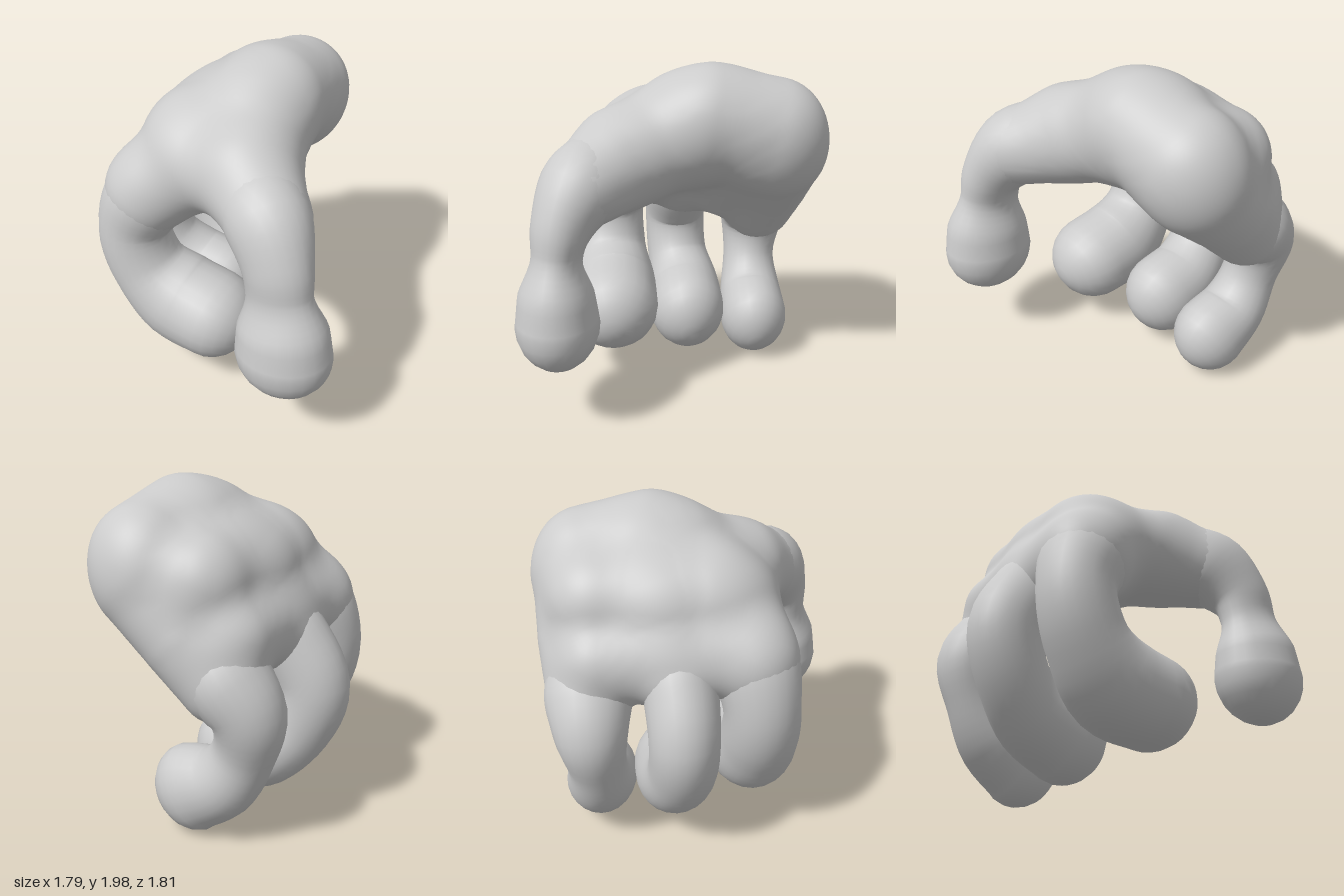
import * as THREE from 'three';
import { mergeVertices } from 'three/addons/utils/BufferGeometryUtils.js';

const SIDES = 24;

// Rounded limb swept through stations [x, y, z, half width along z, half thickness],
// closed by a dome of the given length at each end.
function limb(name, stations, startCap, endCap, material) {
  const path = new THREE.CatmullRomCurve3(stations.map(s => new THREE.Vector3(s[0], s[1], s[2])));
  const size = new THREE.CatmullRomCurve3(stations.map(s => new THREE.Vector3(s[3], s[4], 0)));
  const rings = [];
  const capSteps = 6, steps = (stations.length - 1) * 5;
  const addRing = (t, push, scale) => {
    const tangent = path.getTangent(t);
    const centre = path.getPoint(t).addScaledVector(tangent, push);
    const r = size.getPoint(t);
    const u = new THREE.Vector3(0, 0, 1).addScaledVector(tangent, -tangent.z).normalize();
    const v = new THREE.Vector3().crossVectors(tangent, u);
    rings.push({ centre, u, v, a: r.x * scale, b: r.y * scale });
  };
  for (let i = capSteps; i > 0; i--) {
    const q = (i / capSteps) * Math.PI / 2;
    addRing(0, -startCap * Math.sin(q), Math.cos(q));
  }
  for (let i = 0; i <= steps; i++) addRing(i / steps, 0, 1);
  for (let i = 1; i <= capSteps; i++) {
    const q = (i / capSteps) * Math.PI / 2;
    addRing(1, endCap * Math.sin(q), Math.cos(q));
  }

  const positions = [], indices = [];
  rings.forEach(({ centre, u, v, a, b }, i) => {
    for (let j = 0; j < SIDES; j++) {
      const q = (j / SIDES) * Math.PI * 2;
      const p = centre.clone().addScaledVector(u, a * Math.cos(q)).addScaledVector(v, b * Math.sin(q));
      positions.push(p.x, p.y, p.z);
      if (i === rings.length - 1) continue;
      const k = (j + 1) % SIDES, n = i * SIDES;
      indices.push(n + j, n + k, n + SIDES + k, n + j, n + SIDES + k, n + SIDES + j);
    }
  });
  let geometry = new THREE.BufferGeometry();
  geometry.setAttribute('position', new THREE.Float32BufferAttribute(positions, 3));
  geometry.setIndex(indices);
  geometry = mergeVertices(geometry, 1e-4);
  geometry.computeVertexNormals();
  const mesh = new THREE.Mesh(geometry, material);
  mesh.name = name;
  return mesh;
}

// Ridges of flesh in the palm: chains of balls [x, y, z, radius]
const RIDGES = [
  [[0.08, 1.59, -0.57, 0.31], [0.10, 1.68, -0.20, 0.30]], // heel
  [[0.04, 1.46, -0.60, 0.29], [-0.20, 1.22, -0.60, 0.26], [-0.41, 0.99, -0.57, 0.24]], // little finger edge
  [[0.04, 1.54, -0.42, 0.29], [-0.34, 1.15, -0.34, 0.22]], // hollow of the palm
  [[0.00, 1.62, -0.25, 0.32], [-0.26, 1.44, -0.15, 0.30], [-0.47, 1.13, -0.08, 0.22]], // middle
  [[0.00, 1.58, -0.05, 0.32], [-0.20, 1.42, 0.20, 0.30], [-0.43, 1.18, 0.35, 0.25]], // index edge
  [[0.08, 1.59, -0.05, 0.31], [0.20, 1.47, 0.30, 0.28], [0.43, 1.38, 0.51, 0.235]], // thumb mound
  [[-0.20, 1.42, 0.20, 0.28], [0.20, 1.47, 0.30, 0.27]], // web beside the thumb
  [[-0.22, 1.49, -0.50, 0.29], [-0.23, 1.49, 0.10, 0.30]], // back of the hand
  [[-0.42, 1.22, -0.50, 0.23], [-0.43, 1.26, 0.33, 0.23]], // knuckle row
];

// Distance from a point to the smoothly blended ridges (negative inside)
function palmDistance(p) {
  const blend = 0.1;
  let total = 10;
  for (const chain of RIDGES) {
    let nearest = 10;
    for (let i = 0; i < chain.length - 1; i++) {
      const [ax, ay, az, ar] = chain[i], [bx, by, bz, br] = chain[i + 1];
      const dx = bx - ax, dy = by - ay, dz = bz - az;
      const along = ((p.x - ax) * dx + (p.y - ay) * dy + (p.z - az) * dz) / (dx * dx + dy * dy + dz * dz);
      const h = THREE.MathUtils.clamp(along, 0, 1);
      const gap = Math.hypot(p.x - ax - dx * h, p.y - ay - dy * h, p.z - az - dz * h);
      nearest = Math.min(nearest, gap - ar - (br - ar) * h);
    }
    const mix = Math.max(blend - Math.abs(total - nearest), 0) / blend;
    total = Math.min(total, nearest) - mix * mix * blend / 4;
  }
  return total;
}

// Palm: a ball whose vertices are pushed out to the blended ridges
function palm(material) {
  let geometry = new THREE.IcosahedronGeometry(1, 24);
  geometry.deleteAttribute('normal');
  geometry.deleteAttribute('uv');
  geometry = mergeVertices(geometry);
  const centre = new THREE.Vector3(-0.09, 1.42, -0.18);
  const position = geometry.attributes.position;
  const direction = new THREE.Vector3(), p = new THREE.Vector3();
  for (let i = 0; i < position.count; i++) {
    direction.fromBufferAttribute(position, i).normalize();
    p.copy(centre);
    for (let d = palmDistance(p); d < 0; d = palmDistance(p)) {
      p.addScaledVector(direction, 0.001 - d * 0.8);
    }
    position.setXYZ(i, p.x, p.y, p.z);
  }
  geometry.computeVertexNormals();
  const mesh = new THREE.Mesh(geometry, material);
  mesh.name = 'palm';
  return mesh;
}

export function createModel() {
  const hand = new THREE.Group();
  hand.name = 'hand';
  const skin = new THREE.MeshStandardMaterial({ color: 0xcccccc });

  hand.add(palm(skin));

  // Thumb, with a narrow neck and a bulbous tip
  hand.add(limb('thumb', [
    [0.28, 1.45, 0.40, 0.22, 0.22],
    [0.43, 1.38, 0.52, 0.23, 0.24],
    [0.55, 1.19, 0.63, 0.17, 0.20],
    [0.58, 1.03, 0.66, 0.14, 0.19],
    [0.61, 0.83, 0.67, 0.21, 0.26],
    [0.62, 0.66, 0.67, 0.235, 0.28],
  ], 0.1, 0.27, skin));

  // Three fingers curling under the palm
  hand.add(limb('indexFinger', [
    [-0.35, 1.29, 0.31, 0.22, 0.22],
    [-0.45, 1.16, 0.36, 0.25, 0.25],
    [-0.52, 0.94, 0.40, 0.22, 0.22],
    [-0.44, 0.68, 0.40, 0.23, 0.23],
    [-0.24, 0.50, 0.38, 0.27, 0.29],
    [0.01, 0.45, 0.38, 0.28, 0.27],
  ], 0.1, 0.26, skin));

  hand.add(limb('middleFinger', [
    [-0.40, 1.26, -0.09, 0.20, 0.20],
    [-0.53, 1.09, -0.06, 0.21, 0.23],
    [-0.67, 0.84, -0.04, 0.20, 0.22],
    [-0.60, 0.58, -0.05, 0.20, 0.21],
    [-0.42, 0.40, -0.09, 0.23, 0.24],
    [-0.20, 0.32, -0.10, 0.24, 0.27],
  ], 0.1, 0.24, skin));

  hand.add(limb('littleFinger', [
    [-0.34, 1.12, -0.56, 0.22, 0.22],
    [-0.45, 1.00, -0.57, 0.25, 0.23],
    [-0.57, 0.82, -0.56, 0.21, 0.21],
    [-0.53, 0.58, -0.54, 0.17, 0.18],
    [-0.40, 0.37, -0.54, 0.20, 0.21],
    [-0.20, 0.26, -0.54, 0.215, 0.26],
  ], 0.1, 0.23, skin));

  return hand;
}
